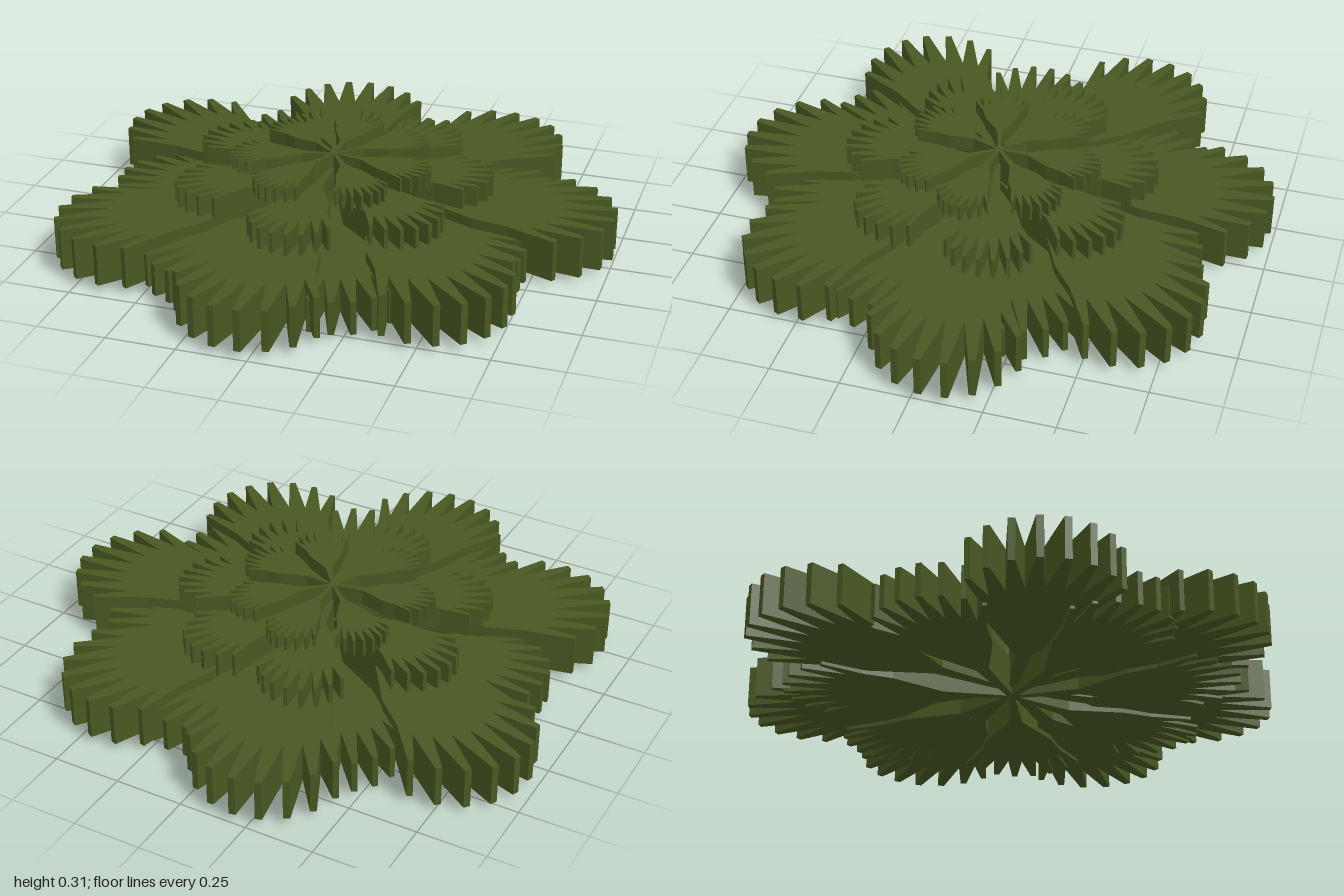
import * as THREE from 'three';

const HUB_X = -0.03;
const rad = THREE.MathUtils.degToRad;

// Fan-shaped leaf outline pointing along +x, hub at the origin, unit length
function leafShape(teeth = 8, spread = 26, focus = 0.3) {
  const polar = (deg, r) => new THREE.Vector2(focus + r * Math.cos(rad(deg)), r * Math.sin(rad(deg)));
  const side = [[0, 0.012], [0.3, 0.03], [0.4, 0.085], [0.52, 0.15], [0.65, 0.185]];
  const pts = side.map(([x, y]) => new THREE.Vector2(x, -y));
  const step = (2 * spread) / (teeth - 1);
  for (let i = 0; i < teeth; i++) {
    const a = -spread + i * step;
    const t = a / spread;
    const tip = 0.705 - 0.12 * t * t;
    // blunt tooth tip followed by a valley
    pts.push(polar(a - 1, tip), polar(a + 1, tip));
    if (i < teeth - 1) {
      const v = (a + step / 2) / spread;
      pts.push(polar(a + step / 2, 0.5 - 0.06 * v * v));
    }
  }
  side.slice().reverse().forEach(([x, y]) => pts.push(new THREE.Vector2(x, y)));
  return new THREE.Shape(pts);
}

// Unit leaf laid flat with y from 0 to 1; dip lowers its underside towards the hub
function leafGeometry(dip) {
  const geometry = new THREE.ExtrudeGeometry(leafShape(), { depth: 1, bevelEnabled: false });
  geometry.rotateX(-Math.PI / 2);
  const p = geometry.attributes.position;
  for (let i = 0; i < p.count; i++) {
    if (p.getY(i) < 0.5) p.setY(i, -dip * (1 - p.getX(i)));
  }
  geometry.computeVertexNormals();
  return geometry;
}

export function createModel() {
  const model = new THREE.Group();
  model.name = 'leafRosette';
  const green = new THREE.MeshStandardMaterial({ color: 0x485822 });
  green.name = 'olive green';

  // Tiers of leaves; angles run from +x towards +z
  const tiers = [
    { name: 'lowerLeaf', size: 0.82, bottom: 0.018, top: 0.14, dip: 0.147, angles: [176, 239, 288, 335, 24, 70, 118] },
    { name: 'outerLeaf', size: 1, bottom: 0.026, top: 0.178, dip: 0, angles: [-102, -53, -4, 44, 93, 144, 208],
      lengths: [1.0, 1.01, 1.03, 0.99, 0.99, 1.02, 1.03] },
    { name: 'middleLeaf', size: 0.58, bottom: 0.165, top: 0.255, dip: 0, angles: [-105, -58, -12, 40, 91, 147, 200] },
    { name: 'topLeaf', size: 0.375, bottom: 0.25, top: 0.308, dip: 0, angles: [-90, -42, 8, 54, 114, 166, 222] },
  ];
  for (const { name, size, bottom, top, dip, angles, lengths } of tiers) {
    const geometry = leafGeometry(dip);
    angles.forEach((angle, i) => {
      const leaf = new THREE.Mesh(geometry, green);
      leaf.name = `${name}${i + 1}`;
      leaf.scale.set(lengths ? lengths[i] : size, top - bottom, size);
      leaf.rotation.y = -rad(angle);
      leaf.position.set(HUB_X, bottom, 0);
      model.add(leaf);
    });
  }
  return model;
}
